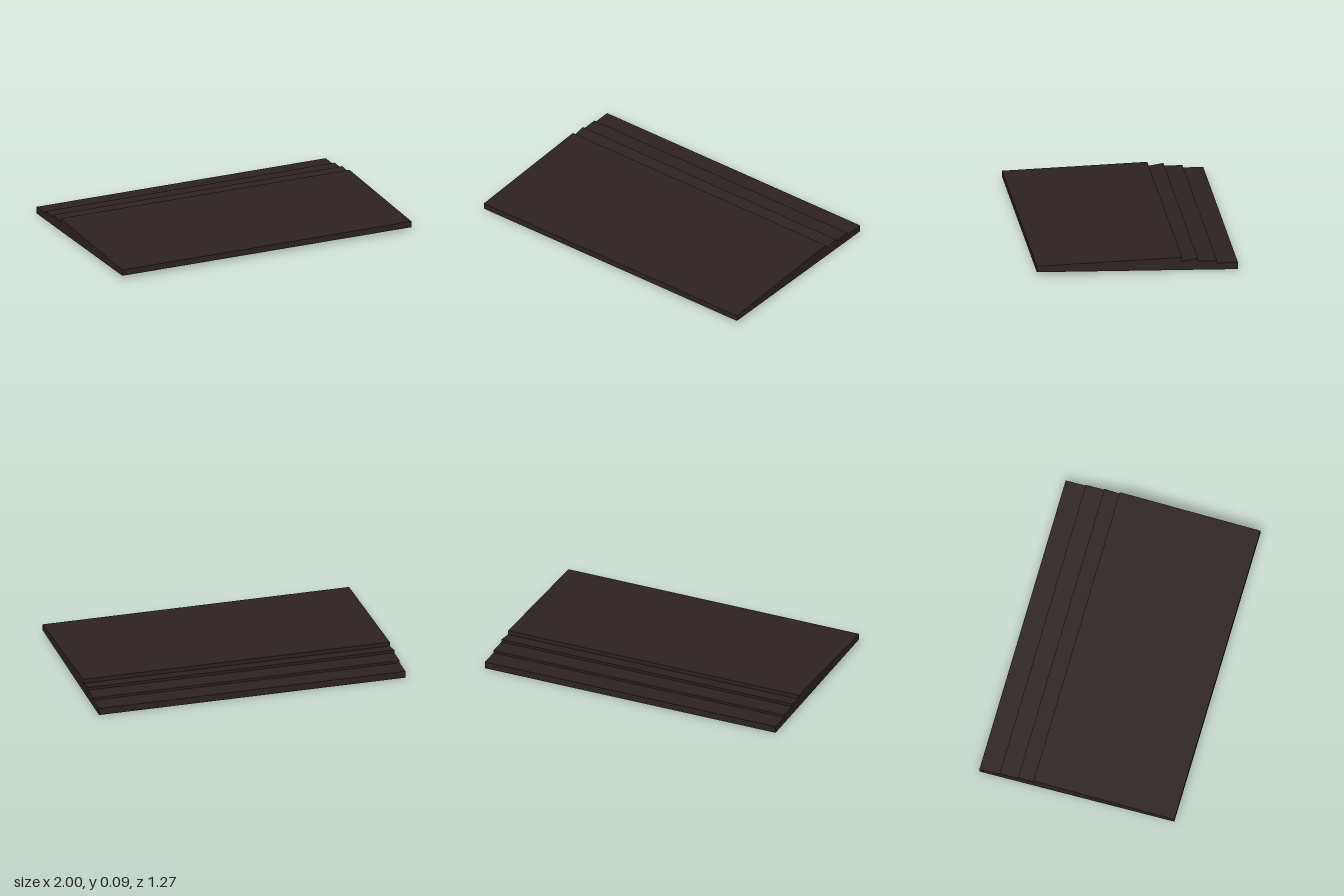
import * as THREE from 'three';

const WIDTH = 2;

// Side profile as [z, y], from the front lower edge round the underside
const PROFILE = [
  [0.634, 0.024],
  [-0.634, 0.001], // sloping underside
  [-0.634, 0.045], // rear lip
  [-0.503, 0.045],
  [-0.503, 0.061], // middle step
  [-0.383, 0.061],
  [-0.383, 0.079], // sloped step
  [-0.282, 0.063],
  [-0.282, 0.09], // rear edge of the main deck
  [0.634, 0.063],
];

export function createModel() {
  const group = new THREE.Group();
  group.name = 'steppedPanel';

  const darkBrown = new THREE.MeshStandardMaterial({ color: 0x2d2222 });
  darkBrown.name = 'darkBrown';

  // Extrude the profile across the width, then turn it to run along x
  const shape = new THREE.Shape(PROFILE.map(([z, y]) => new THREE.Vector2(-z, y)));
  const geometry = new THREE.ExtrudeGeometry(shape, { depth: WIDTH, bevelEnabled: false });
  geometry.translate(0, 0, -WIDTH / 2);
  geometry.rotateY(Math.PI / 2);

  const panel = new THREE.Mesh(geometry, darkBrown);
  panel.name = 'panel';
  group.add(panel);
  return group;
}
